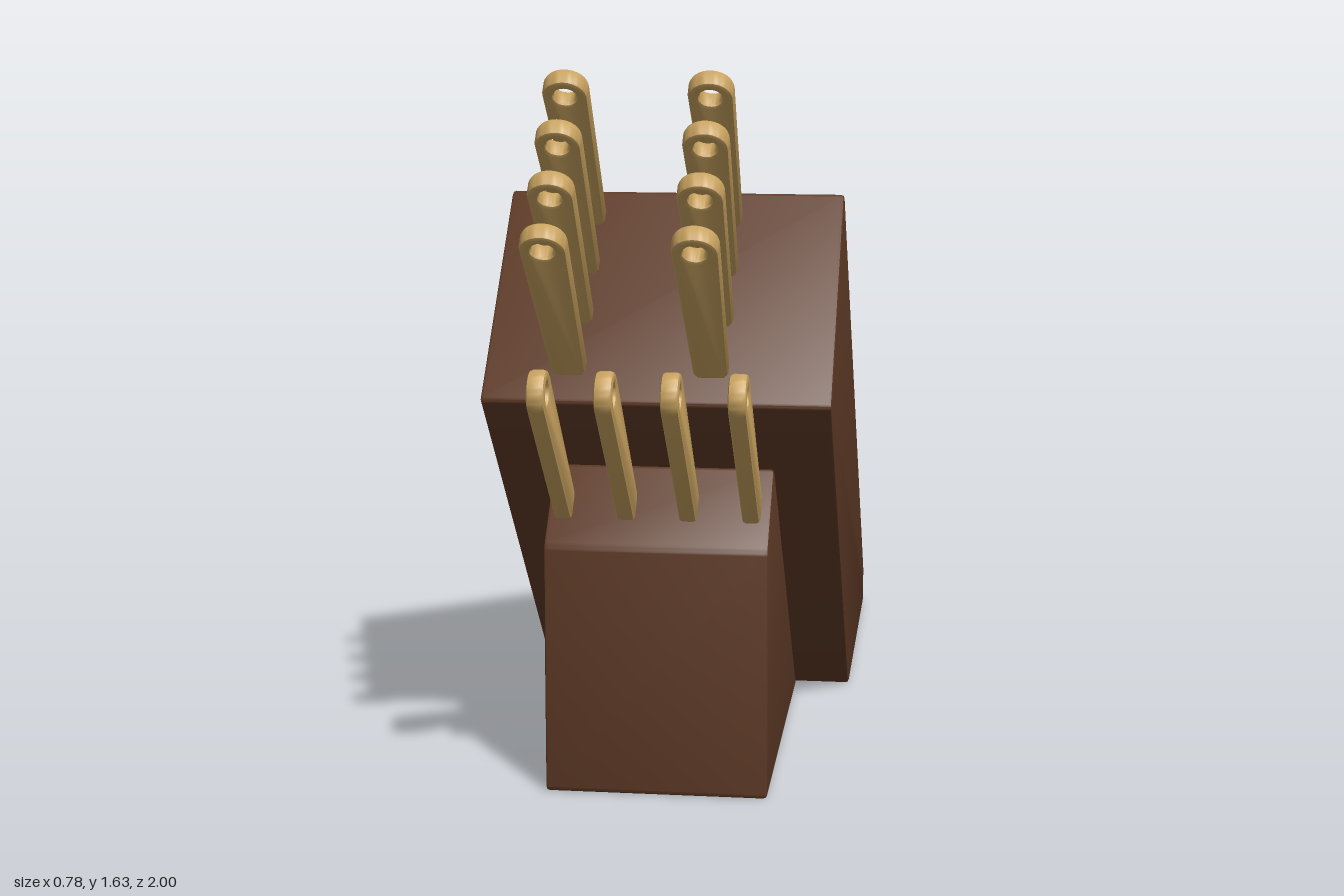
import * as THREE from 'three';
import { toCreasedNormals } from 'three/addons/utils/BufferGeometryUtils.js';

// Closed polygon with each corner softened by distance r
function softPolygon(points, r) {
  const shape = new THREE.Shape();
  const v = points.map(([x, y]) => new THREE.Vector2(x, y));
  v.forEach((p, i) => {
    const prev = v[(i + v.length - 1) % v.length];
    const next = v[(i + 1) % v.length];
    const a = p.clone().add(prev.clone().sub(p).setLength(r));
    const b = p.clone().add(next.clone().sub(p).setLength(r));
    if (i === 0) shape.moveTo(a.x, a.y);
    else shape.lineTo(a.x, a.y);
    shape.quadraticCurveTo(p.x, p.y, b.x, b.y);
  });
  shape.closePath();
  return shape;
}

// Extrusion of total thickness, centred on z, with rounded rims inside the outline
function slab(shape, thickness, bevel, curveSegments) {
  const geo = new THREE.ExtrudeGeometry(shape, {
    depth: thickness - 2 * bevel,
    bevelEnabled: true,
    bevelThickness: bevel,
    bevelSize: bevel,
    bevelOffset: -bevel,
    bevelSegments: 2,
    curveSegments,
  });
  geo.translate(0, 0, bevel - thickness / 2);
  return toCreasedNormals(geo, 0.7);
}

// Wooden block from a side profile of [z, y] points
function woodBlock(name, profile, width, material) {
  const geo = slab(softPolygon(profile, 0.01), width, 0.008, 3);
  geo.rotateY(-Math.PI / 2);
  const mesh = new THREE.Mesh(geo, material);
  mesh.name = name;
  return mesh;
}

// Tapered handle with round end and hanging hole, base at the origin, pointing up
function handleGeometry(length, thickness) {
  const r = 0.05, base = 0.039, top = length - r;
  const s = new THREE.Shape();
  s.moveTo(-base + 0.01, -0.006);
  s.lineTo(base - 0.01, -0.006);
  s.lineTo(base, 0.008);
  s.lineTo(r, top);
  s.absarc(0, top, r, 0, Math.PI, false);
  s.lineTo(-base, 0.008);
  s.closePath();
  const hole = new THREE.Path();
  hole.absarc(0, top, 0.025, 0, Math.PI * 2, true);
  s.holes.push(hole);
  return slab(s, thickness, 0.009, 10);
}

export function createModel() {
  const model = new THREE.Group();
  model.name = 'knifeBlock';

  const wood = new THREE.MeshStandardMaterial({ color: 0x5e3a26 });
  wood.name = 'dark wood';
  const tan = new THREE.MeshStandardMaterial({ color: 0xc8a25f });
  tan.name = 'tan handle';

  // Slanted main block and the smaller block under its front
  model.add(woodBlock('mainBlock',
    [[-1, 0], [-0.2, 0], [0.698, 0.905], [0.27, 1.329], [-1, 0.1]], 0.78, wood));
  model.add(woodBlock('frontBlock',
    [[-0.2, 0], [0.69, 0], [0.69, 0.575], [0.535, 0.732]], 0.505, wood));

  // Two columns of large knives, lying flat
  const large = handleGeometry(0.495, 0.043);
  for (const x of [-0.198, 0.12]) {
    for (let i = 0; i < 4; i++) {
      const knife = new THREE.Mesh(large, tan);
      knife.name = 'largeKnifeHandle';
      knife.position.set(x, 1.272 - i * 0.0995, 0.338 + i * 0.1);
      knife.rotation.x = Math.PI / 4;
      model.add(knife);
    }
  }

  // Row of small knives, standing on edge
  const small = handleGeometry(0.5, 0.04);
  for (const x of [-0.215, -0.072, 0.068, 0.21]) {
    const knife = new THREE.Mesh(small, tan);
    knife.name = 'smallKnifeHandle';
    knife.position.set(x, 0.652, 0.616);
    knife.rotation.set(Math.PI / 4, Math.PI / 2, 0);
    model.add(knife);
  }
  return model;
}
